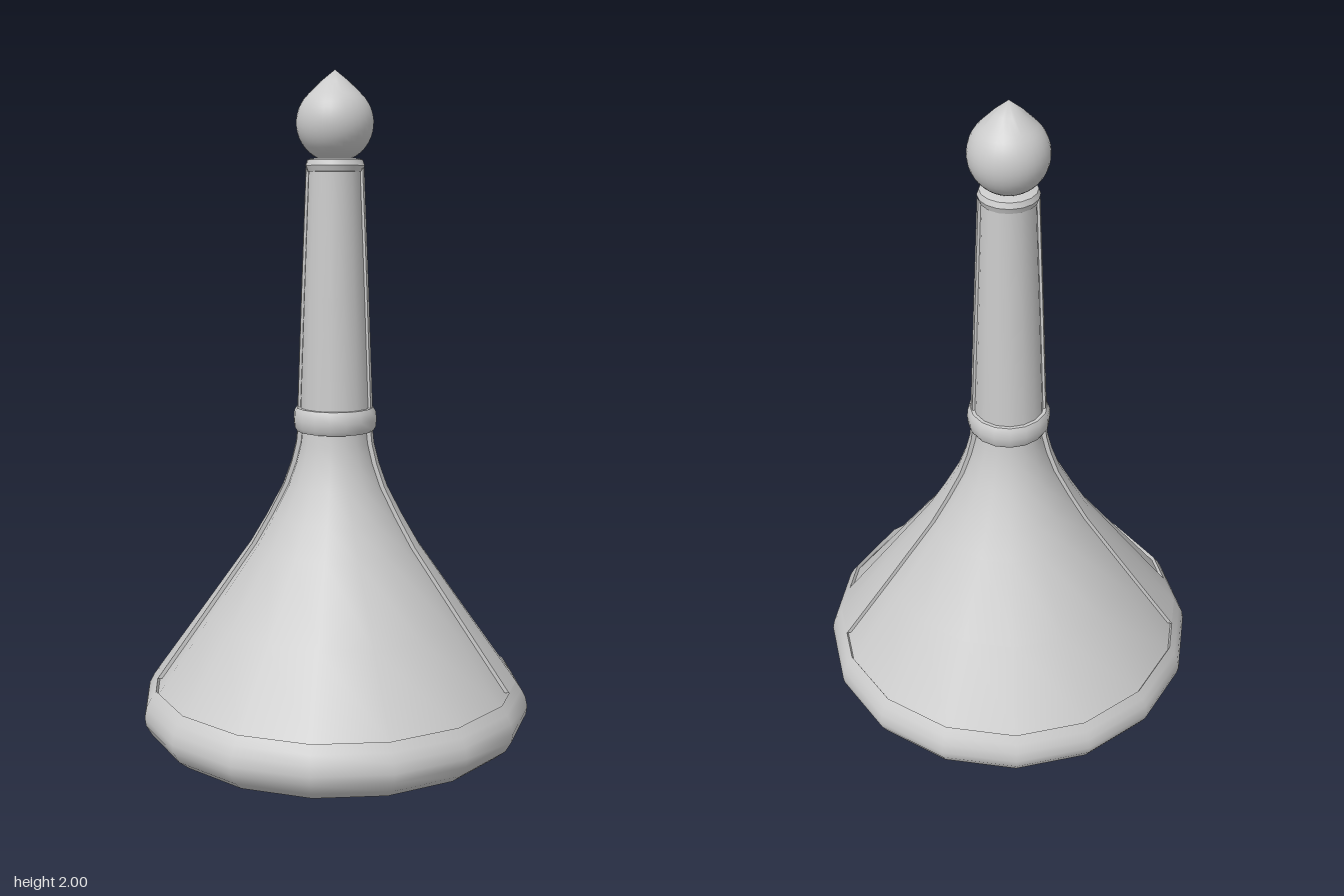
import * as THREE from 'three';
import { toCreasedNormals } from 'three/addons/utils/BufferGeometryUtils.js';

const SIDES = 16;
const HALF = Math.PI / SIDES; // half the angle of one facet
const material = new THREE.MeshStandardMaterial({ color: 0xcccccc });

function addMesh(group, name, geometry, crease = 0.6) {
  const mesh = new THREE.Mesh(toCreasedNormals(geometry, crease), material);
  mesh.name = name;
  group.add(mesh);
  return mesh;
}

// Turned part from [radius, height] pairs, listed from bottom to top
function turned(profile, sides = SIDES) {
  return new THREE.LatheGeometry(profile.map(([r, y]) => new THREE.Vector2(r, y)), sides);
}

// Raised rib facing +x: a one-facet-wide slice of the outer profile with side walls
function ribGeometry(profile, depth) {
  const positions = [];
  const index = [];
  const edge = Math.cos(HALF); // keeps the slice edges on the straight facets
  for (const [r, y] of profile) {
    const section = [
      [(r - depth) * edge, HALF], [r * edge, HALF], [r, 0],
      [r * edge, -HALF], [(r - depth) * edge, -HALF],
    ];
    for (const [radius, a] of section) {
      positions.push(radius * Math.cos(a), y, radius * Math.sin(a));
    }
  }
  for (let row = 0; row < profile.length - 1; row++) {
    for (let k = 0; k < 4; k++) {
      const a = row * 5 + k, b = a + 1, c = a + 5, d = c + 1;
      index.push(a, b, c, b, d, c);
    }
  }
  const geometry = new THREE.BufferGeometry();
  geometry.setAttribute('position', new THREE.Float32BufferAttribute(positions, 3));
  geometry.setIndex(index);
  return geometry;
}

export function createModel() {
  const group = new THREE.Group();

  // Rounded foot with a small lip around the recessed panels
  addMesh(group, 'base', turned([
    [0, 0.005], [0.49, 0.005], [0.5, 0], [0.535, 0.015], [0.568, 0.042], [0.587, 0.075],
    [0.591, 0.1], [0.585, 0.13], [0.572, 0.155], [0.555, 0.18], [0.546, 0.16],
  ]));

  // Flared skirt panels, set slightly behind the ribs
  const recess = (profile, d) => profile.map(([r, y]) => [r - d, y]);
  const skirt = [[0.555, 0.18], [0.405, 0.39], [0.257, 0.6], [0.205, 0.69], [0.158, 0.78],
    [0.133, 0.85], [0.118, 0.91], [0.112, 0.97]];
  addMesh(group, 'skirtPanels', turned(recess([[0.569, 0.16], ...skirt], 0.014)));

  // Tapered neck panels
  const neck = [[0.114, 1.0], [0.101, 1.35], [0.086, 1.72]];
  addMesh(group, 'neckPanels', turned(recess(neck, 0.008)));

  // Ribs on the left and right
  for (const [side, turn] of [['left', 0], ['right', Math.PI]]) {
    addMesh(group, side + 'SkirtRib', ribGeometry(skirt, 0.03)).rotation.y = turn;
    addMesh(group, side + 'NeckRib', ribGeometry(neck, 0.02)).rotation.y = turn;
  }

  // Collars around the waist and under the finial
  addMesh(group, 'waistCollar', turned([
    [0.1, 0.947], [0.116, 0.947], [0.123, 0.959], [0.125, 0.982], [0.123, 1.005], [0.116, 1.017], [0.09, 1.017],
  ]));
  addMesh(group, 'topCollar', turned([
    [0.07, 1.708], [0.081, 1.711], [0.087, 1.728], [0.081, 1.744], [0.07, 1.748], [0, 1.748],
  ]));

  // Ball finial drawn up to a point
  const ball = [];
  for (let i = 0; i <= 16; i++) {
    const a = -Math.PI / 2 + (i / 16) * Math.PI * 0.76;
    ball.push([Math.max(0, 0.113 * Math.cos(a)), 1.849 + 0.113 * Math.sin(a)]);
  }
  ball.push([0.041, 1.967], [0, 2]);
  addMesh(group, 'finial', turned(ball, 32), 1.6);

  return group;
}
